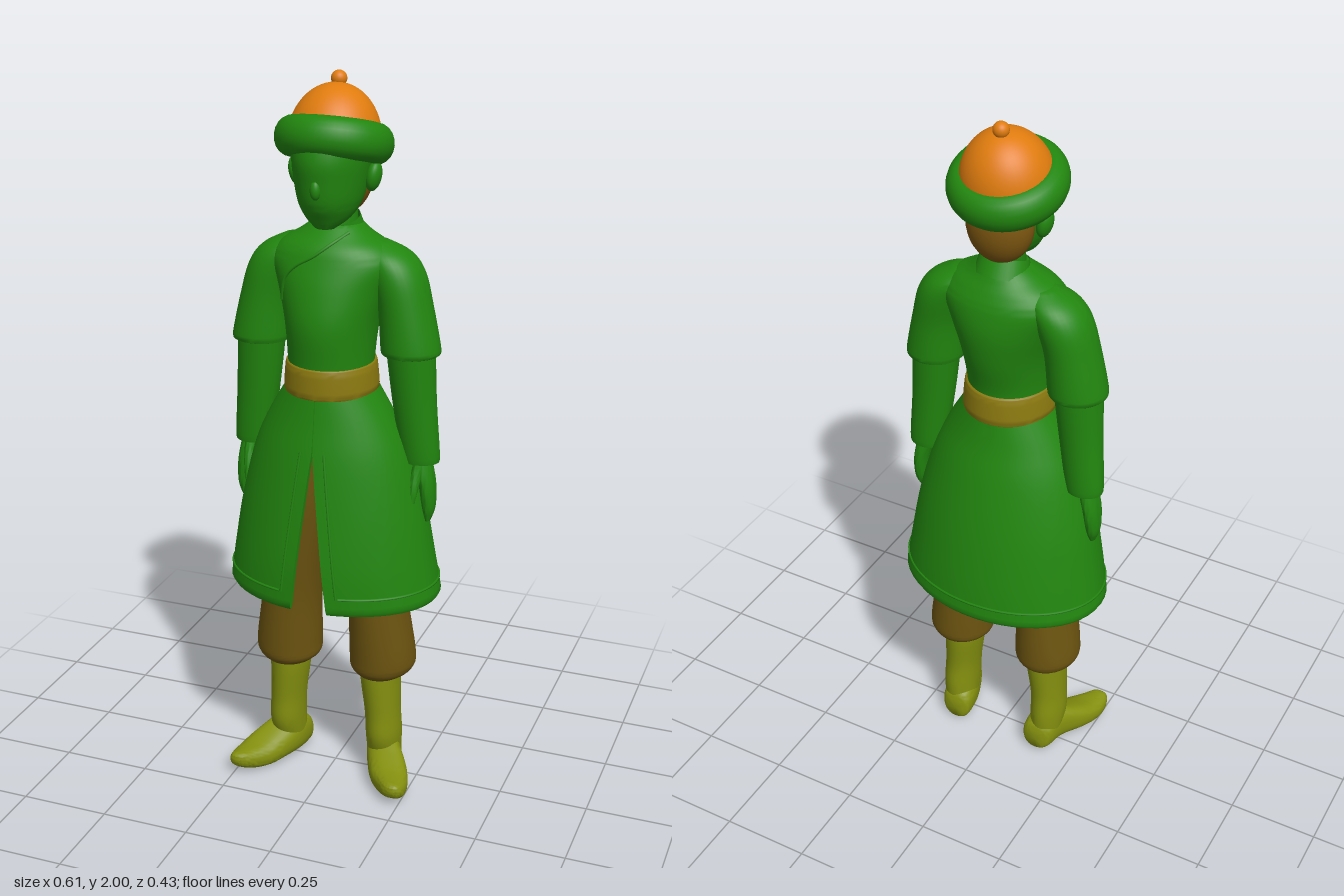
import * as THREE from 'three';
import { toCreasedNormals } from 'three/addons/utils/BufferGeometryUtils.js';

const mat = (name, color) => {
  const m = new THREE.MeshStandardMaterial({ color });
  m.name = name;
  return m;
};

// Catmull-Rom refinement of section rows
function refine(rows, steps = 5) {
  const out = [];
  const at = i => rows[Math.max(0, Math.min(rows.length - 1, i))];
  for (let i = 0; i < rows.length - 1; i++) {
    for (let k = 0; k < steps; k++) {
      const t = k / steps;
      out.push(rows[i].map((b, c) => {
        const a = at(i - 1)[c], d = at(i + 1)[c], e = at(i + 2)[c];
        return b + 0.5 * t * (d - a + t * (2 * a - 5 * b + 4 * d - e + t * (3 * (b - d) + e - a)));
      }));
    }
  }
  out.push(rows[rows.length - 1]);
  return out;
}

// Skin a list of closed rings, with fan caps if wanted
function skin(rings, caps = true, crease = 0.9) {
  const n = rings[0].length, pos = rings.flat(2), idx = [];
  for (let i = 0; i < rings.length - 1; i++) {
    for (let j = 0; j < n; j++) {
      const a = i * n + j, b = i * n + (j + 1) % n;
      idx.push(a, a + n, b, b, a + n, b + n);
    }
  }
  if (caps) {
    [0, rings.length - 1].forEach((r, end) => {
      const c = pos.length / 3;
      pos.push(...[0, 1, 2].map(k => rings[r].reduce((s, p) => s + p[k], 0) / n));
      for (let j = 0; j < n; j++) {
        const a = r * n + j, b = r * n + (j + 1) % n;
        idx.push(c, end ? b : a, end ? a : b);
      }
    });
  }
  const g = new THREE.BufferGeometry();
  g.setAttribute('position', new THREE.Float32BufferAttribute(pos, 3));
  g.setIndex(idx);
  return toCreasedNormals(g, crease);
}

// Oval loft: rows [y, cx, cz, rx, rz], or along z: rows [z, cx, cy, rx, ry]
function loft(rows, { side = 1, alongZ = false, power = 2, n = 32 } = {}) {
  const bend = v => Math.sign(v) * Math.abs(v) ** (2 / power);
  return skin(refine(rows).map(([s, a, b, ra, rb]) => Array.from({ length: n }, (_, j) => {
    const t = j / n * Math.PI * 2;
    const x = side * a + ra * bend(Math.cos(t)), w = rb * bend(Math.sin(t));
    return alongZ ? [x, b - w, s] : [x, s, b + w];
  })));
}

function rowAt(rows, y) {
  const f = refine(rows);
  let i = 0;
  while (i < f.length - 2 && f[i + 1][0] < y) i++;
  const t = (y - f[i][0]) / (f[i + 1][0] - f[i][0]);
  return f[i].map((v, k) => v + (f[i + 1][k] - v) * t);
}

// Point on the front of a loft at x, y
function onFront(rows, x, y) {
  const [, , cz, rx, rz] = rowAt(rows, y);
  return new THREE.Vector3(x, y, cz + rz * Math.sqrt(Math.max(0, 1 - (x / rx) ** 2)));
}

const seam = (points, r = 0.005) =>
  new THREE.TubeGeometry(new THREE.CatmullRomCurve3(points), 60, r, 6);

const TORSO = [
  [1.15, 0, 0.025, 0.115, 0.122], [1.25, 0, 0.03, 0.115, 0.122], [1.36, 0, 0.022, 0.125, 0.14],
  [1.45, 0, 0.008, 0.15, 0.138], [1.52, 0, 0, 0.175, 0.122], [1.56, 0, 0, 0.15, 0.105],
  [1.59, 0, -0.005, 0.1, 0.082], [1.615, 0, -0.012, 0.066, 0.062]];
const SKIRT = [
  [0.59, 0, 0, 0.303, 0.219], [0.7, 0, 0.005, 0.285, 0.212], [0.85, 0, 0.01, 0.258, 0.192],
  [1.0, 0, 0.018, 0.217, 0.165], [1.1, 0, 0.024, 0.172, 0.142], [1.19, 0, 0.027, 0.118, 0.127]];
const slit = y => 0.001 + 0.052 * Math.max(0, (1.03 - y) / 0.45);

// Open-fronted coat skirt with thickness
function skirtGeometry() {
  const n = 48;
  const ring = (row, outer, inner) => {
    const [y, , cz, rx, rz] = row, gap = Math.asin(slit(y) / rx), pts = [];
    for (let k = 0; k < 2 * n; k++) {
      const j = k < n ? k : 2 * n - 1 - k, d = k < n ? outer : inner;
      const t = -(gap + (Math.PI * 2 - 2 * gap) * j / (n - 1));
      pts.push([-Math.sin(t) * (rx - d), y, cz + Math.cos(t) * (rz - d)]);
    }
    return pts.reverse();
  };
  const rows = refine(SKIRT);
  const hem = [0.578, ...rows[0].slice(1)];
  return skin([ring(hem, 0.007, 0.0075), ...rows.map(r => ring(r, 0, 0.014))], false);
}

export function createModel() {
  const root = new THREE.Group();
  root.name = 'figure';
  const green = mat('coat green', 0x22860f), brown = mat('trouser brown', 0x6c5410);
  const olive = mat('boot olive', 0x84900f), gold = mat('belt gold', 0x8c7a10);
  const orange = mat('cap orange', 0xe07c0e), hairMat = mat('hair brown', 0x7c5610);
  const add = (name, geometry, material, parent = root) => {
    const m = new THREE.Mesh(geometry, material);
    m.name = name;
    parent.add(m);
    return m;
  };
  const ball = (name, material, p, s, parent) => {
    const m = add(name, new THREE.SphereGeometry(1, 28, 20), material, parent);
    m.position.set(...p);
    m.scale.set(...s);
    return m;
  };

  // Coat
  add('torso', loft(TORSO, { n: 48 }), green);
  green.side = THREE.DoubleSide;
  add('coatSkirt', skirtGeometry(), green);
  add('lapelSeam', seam([[0.055, 1.6], [0.02, 1.575], [-0.02, 1.545], [-0.07, 1.515], [-0.1, 1.48], [-0.112, 1.42]]
    .map(p => onFront(TORSO, ...p))), green);
  const collar = add('collar', new THREE.CylinderGeometry(0.064, 0.076, 0.05, 32, 1, true), green);
  collar.position.set(0, 1.607, -0.012);
  collar.scale.z = 0.9;
  collar.rotation.x = 0.3;

  // Sash
  add('belt', loft([[1.17, 0, 0.027, 0.124, 0.132], [1.18, 0, 0.027, 0.127, 0.134],
    [1.24, 0, 0.029, 0.122, 0.131], [1.252, 0, 0.029, 0.118, 0.127]], { n: 48 }), gold);

  // Paired parts
  for (const side of [1, -1]) {
    const tag = side > 0 ? 'left' : 'right', o = { side };
    const edge = Array.from({ length: 9 }, (_, i) => 1.03 - i * 0.05)
      .map(y => onFront(SKIRT, side * (slit(y) + 0.032), y));
    add(tag + 'FrontTrim', seam(edge, 0.004), green);
    const [hy, , hcz, hrx, hrz] = rowAt(SKIRT, 0.63);
    add(tag + 'HemTrim', seam(Array.from({ length: 16 }, (_, i) => {
      const t = 0.29 + i / 15 * (Math.PI - 0.29);
      return new THREE.Vector3(side * hrx * Math.sin(t), hy, hcz + hrz * Math.cos(t));
    }), 0.004), green);
    add(tag + 'Sleeve', loft([[1.28, 0.211, 0, 0.077, 0.078], [1.295, 0.211, 0, 0.08, 0.081],
      [1.4, 0.195, -0.003, 0.073, 0.08], [1.49, 0.17, -0.008, 0.073, 0.082],
      [1.54, 0.14, -0.01, 0.066, 0.07], [1.572, 0.105, -0.01, 0.04, 0.035]], o), green);
    add(tag + 'Forearm', loft([[0.98, 0.24, -0.005, 0.05, 0.042], [0.995, 0.241, -0.005, 0.054, 0.046],
      [1.15, 0.224, 0, 0.06, 0.056], [1.31, 0.211, 0.002, 0.066, 0.07]], o), green);
    add(tag + 'Hand', loft([[0.81, 0.268, 0.004, 0.008, 0.012], [0.85, 0.27, 0.001, 0.018, 0.028],
      [0.92, 0.264, 0, 0.022, 0.038], [1.0, 0.245, 0, 0.026, 0.03]], o), green);
    add(tag + 'Thumb', loft([[0.875, 0.24, 0.055, 0.007, 0.007], [0.92, 0.241, 0.043, 0.013, 0.014],
      [0.98, 0.245, 0.018, 0.015, 0.02]], o), green);
    add(tag + 'Trouser', loft([[0.325, 0.138, -0.004, 0.07, 0.08], [0.345, 0.14, -0.005, 0.09, 0.095],
      [0.39, 0.141, -0.004, 0.093, 0.099], [0.57, 0.125, 0.005, 0.082, 0.101],
      [0.85, 0.085, 0.015, 0.088, 0.11], [1.05, 0.06, 0.02, 0.075, 0.1]], o), brown);
    add(tag + 'BootShaft', loft([[0.04, 0.145, -0.018, 0.046, 0.05], [0.12, 0.148, -0.004, 0.05, 0.068],
      [0.2, 0.145, 0, 0.05, 0.067], [0.3, 0.138, 0, 0.055, 0.075], [0.35, 0.137, 0, 0.056, 0.077]], o), olive);
    add(tag + 'BootFoot', loft([[-0.075, 0.137, 0.042, 0.028, 0.034], [-0.06, 0.139, 0.05, 0.045, 0.049],
      [0, 0.15, 0.06, 0.052, 0.06], [0.06, 0.18, 0.047, 0.059, 0.047], [0.11, 0.203, 0.037, 0.056, 0.037],
      [0.15, 0.222, 0.038, 0.042, 0.03], [0.178, 0.232, 0.046, 0.026, 0.021], [0.187, 0.235, 0.05, 0.01, 0.009]],
    { side, alongZ: true, power: 2.5 }), olive);
    const ear = ball(tag + 'Ear', green, [side * 0.106, 1.742, 0.005], [0.02, 0.04, 0.028]);
    ear.rotation.z = -side * 0.2;
  }

  // Head
  add('neck', new THREE.CylinderGeometry(0.052, 0.058, 0.16, 28), green).position.set(0, 1.64, -0.01);
  add('head', loft([[1.615, 0, 0.075, 0.026, 0.026], [1.64, 0, 0.052, 0.058, 0.064],
    [1.68, 0, 0.036, 0.081, 0.103], [1.74, 0, 0.03, 0.094, 0.12], [1.8, 0, 0.03, 0.1, 0.124],
    [1.88, 0, 0.02, 0.1, 0.11]]), green);
  ball('nose', green, [0, 1.725, 0.145], [0.014, 0.025, 0.014]);
  ball('hair', hairMat, [0, 1.735, -0.03], [0.09, 0.108, 0.075]);

  // Hat, tipped back
  const hat = new THREE.Group();
  hat.name = 'hat';
  hat.position.set(0, 1.828, 0.01);
  hat.rotation.x = -0.28;
  root.add(hat);
  const brim = add('hatBrim', new THREE.TorusGeometry(0.112, 0.043, 20, 56), green, hat);
  brim.rotation.x = Math.PI / 2;
  brim.scale.z = 1.2;
  const dome = add('hatDome', new THREE.SphereGeometry(0.122, 40, 16, 0, Math.PI * 2, 0, Math.PI / 2), orange, hat);
  dome.scale.y = 1.2;
  ball('hatKnob', orange, [0, 0.155, 0.008], [0.021, 0.021, 0.021], hat);
  return root;
}
